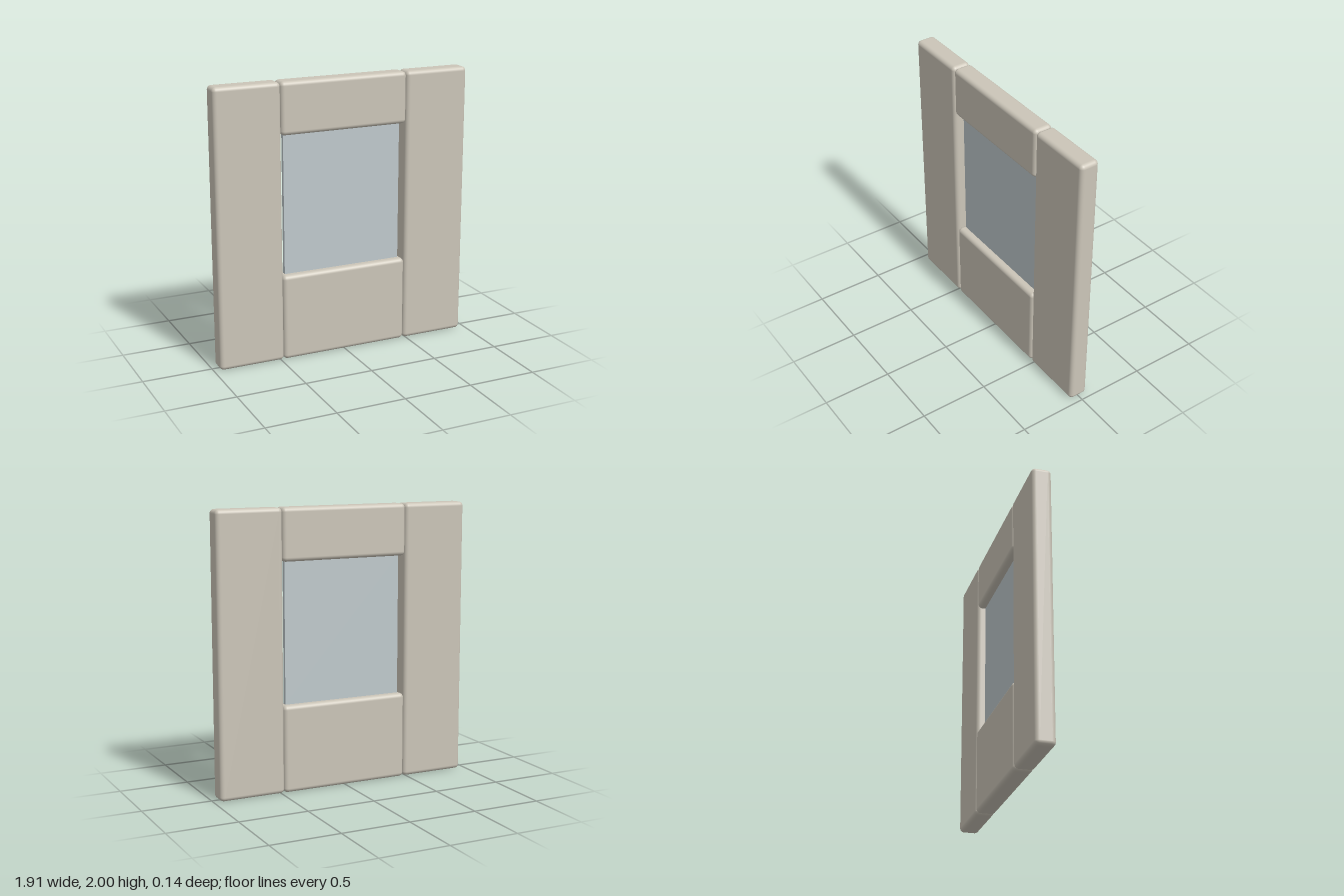
import * as THREE from 'three';
import { RoundedBoxGeometry } from 'three/addons/geometries/RoundedBoxGeometry.js';

const DEPTH = 0.14;
const BEVEL = 0.03;
const OUTER = 0.957; // half width of the whole panel
const INNER = 0.476; // half width of the opening

export function createModel() {
  const group = new THREE.Group();
  const stone = new THREE.MeshStandardMaterial({ name: 'warm grey frame', color: 0xcbc5b8 });
  const glass = new THREE.MeshStandardMaterial({ name: 'pale blue glass', color: 0xbfc9cc });

  // Soft-edged slab spanning x0..x1 and y0..y1
  const slab = (name, x0, x1, y0, y1) => {
    const mesh = new THREE.Mesh(new RoundedBoxGeometry(x1 - x0, y1 - y0, DEPTH, 4, BEVEL), stone);
    mesh.name = name;
    mesh.position.set((x0 + x1) / 2, (y0 + y1) / 2, 0);
    group.add(mesh);
  };

  // Full-height side slabs
  slab('leftStile', INNER, OUTER, 0, 2);
  slab('rightStile', -OUTER, -INNER, 0, 2);

  // Slabs above and below the opening
  slab('topRail', -INNER, INNER, 1.63, 2);
  slab('bottomRail', -INNER, INNER, 0, 0.625);

  // Thin pane with a narrow gap at each side
  const pane = new THREE.Mesh(new THREE.BoxGeometry(0.89, 1.005, 0.03), glass);
  pane.name = 'windowPane';
  pane.position.y = (0.625 + 1.63) / 2;
  group.add(pane);

  return group;
}
